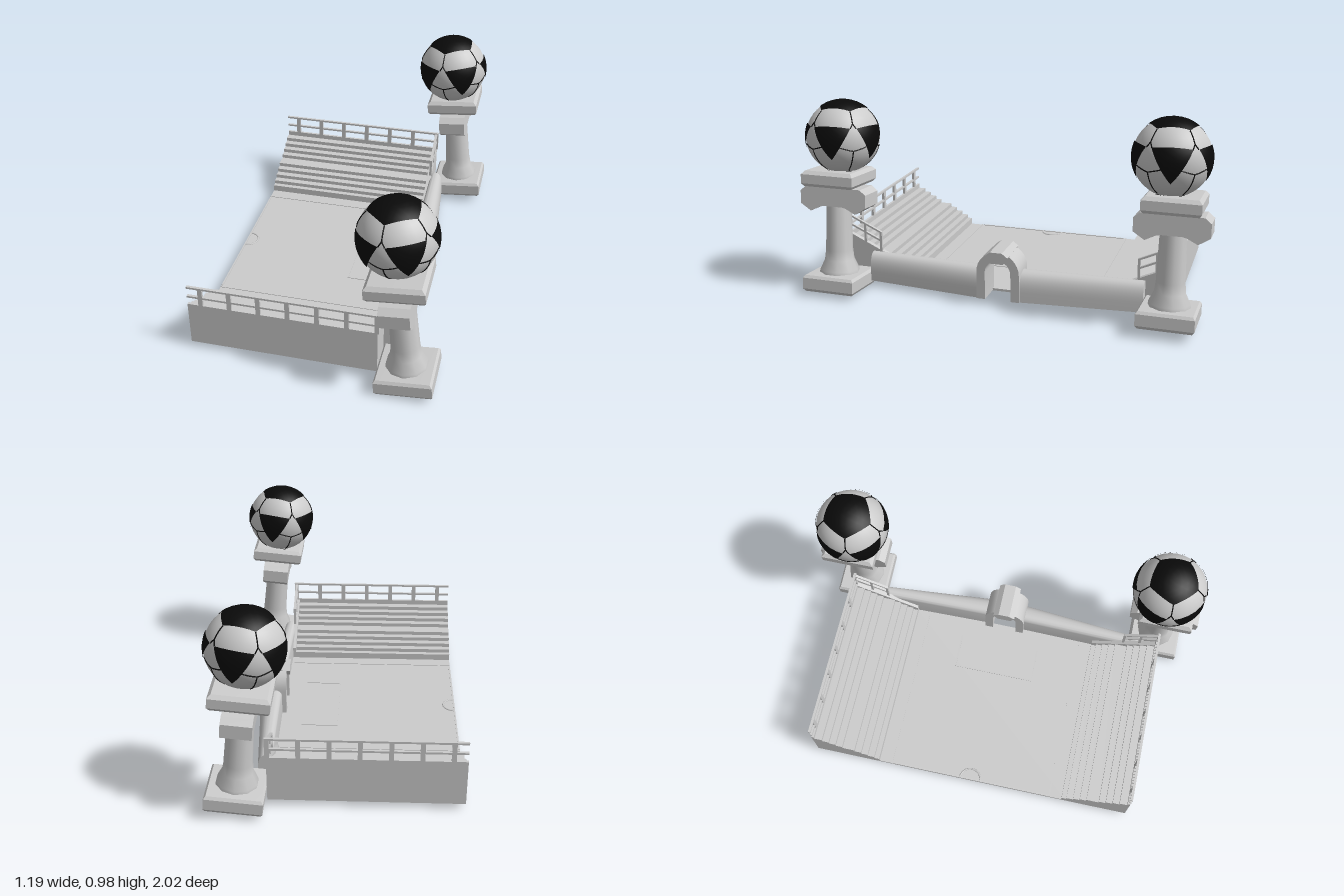
import * as THREE from 'three';
import { toCreasedNormals } from 'three/addons/utils/BufferGeometryUtils.js';

const grey = new THREE.MeshStandardMaterial({ color: 0xcccccc });
const black = new THREE.MeshStandardMaterial({ color: 0x0a0a0a });

function add(parent, name, geometry, x = 0, y = 0, z = 0, material = grey) {
  const mesh = new THREE.Mesh(geometry, material);
  mesh.name = name;
  mesh.position.set(x, y, z);
  parent.add(mesh);
  return mesh;
}

// box given by its lowest and highest corner
function block(parent, name, x0, x1, y0, y1, z0, z1) {
  return add(parent, name, new THREE.BoxGeometry(x1 - x0, y1 - y0, z1 - z0),
    (x0 + x1) / 2, (y0 + y1) / 2, (z0 + z1) / 2);
}

// outline in (z, y) extruded along x from x0 to x1
function extrudeX(shape, x0, x1) {
  const g = new THREE.ExtrudeGeometry(shape, { depth: x1 - x0, bevelEnabled: false, curveSegments: 8 });
  return g.rotateY(-Math.PI / 2).translate(x1, 0, 0);
}

const polygon = pts => new THREE.Shape(pts.map(p => new THREE.Vector2(...p)));

// square frustum stack from [half width, y] rings
function squareStack(rings) {
  const g = new THREE.LatheGeometry(rings.map(([h, y]) => new THREE.Vector2(h * Math.SQRT2, y)), 4, Math.PI / 4);
  return toCreasedNormals(g, 0.4);
}

// point on a sphere, longitude from +z towards +x, both in degrees
function onBall(lon, lat, r) {
  const a = THREE.MathUtils.degToRad(lon), b = THREE.MathUtils.degToRad(lat);
  return new THREE.Vector3(Math.sin(a) * Math.cos(b), Math.sin(b), Math.cos(a) * Math.cos(b)).multiplyScalar(r);
}

// curved panel on the ball, corners counter-clockwise from outside
function panel(corners, r, n = 5) {
  const centre = corners.reduce((s, c) => s.add(c), new THREE.Vector3()).divideScalar(corners.length);
  const pos = [];
  corners.forEach((b, k) => {
    const c = corners[(k + 1) % corners.length];
    const at = (i, j) => centre.clone().addScaledVector(b.clone().sub(centre), i / n)
      .addScaledVector(c.clone().sub(centre), j / n).setLength(r);
    for (let i = 0; i < n; i++) for (let j = 0; i + j < n; j++) {
      const tris = [at(i, j), at(i + 1, j), at(i, j + 1)];
      if (i + j < n - 1) tris.push(at(i + 1, j), at(i + 1, j + 1), at(i, j + 1));
      tris.forEach(p => pos.push(p.x, p.y, p.z));
    }
  });
  const g = new THREE.BufferGeometry();
  g.setAttribute('position', new THREE.Float32BufferAttribute(pos, 3));
  return toCreasedNormals(g, 1);
}

function makeBall() {
  const ball = new THREE.Group();
  ball.name = 'ball';
  const R = 0.18;
  add(ball, 'ballShell', new THREE.SphereGeometry(R, 30, 20));
  const seam = (a, b) => {
    const pts = [0, 0.25, 0.5, 0.75, 1].map(t => a.clone().lerp(b, t).setLength(R));
    add(ball, 'seam', new THREE.TubeGeometry(new THREE.CatmullRomCurve3(pts), 8, 0.003, 5), 0, 0, 0, black);
  };
  const top = [], bottom = [];
  for (let k = 0; k < 5; k++) {
    const lon = 25 + 72 * k, mid = lon + 36;
    top.push(onBall(mid, 48, R));
    bottom.unshift(onBall(mid, -58, R));
    // side patch, wide at its upper edge and pointed below
    const patch = [onBall(lon, -31, R), onBall(lon + 20, 0, R), onBall(lon + 31, 19, R),
      onBall(lon - 31, 19, R), onBall(lon - 20, 0, R)];
    add(ball, 'sidePatch', panel(patch, R + 0.004), 0, 0, 0, black);
    // seams above and below the gap between two patches
    const high = onBall(mid, 27, R), low = onBall(mid, -16, R);
    seam(onBall(mid, 48, R), high);
    seam(high, onBall(lon + 31, 19, R));
    seam(high, onBall(lon + 41, 19, R));
    seam(low, onBall(mid, -58, R));
    seam(low, onBall(lon + 14, -10, R));
    seam(low, onBall(lon + 58, -10, R));
  }
  add(ball, 'topPatch', panel(top, R + 0.004), 0, 0, 0, black);
  add(ball, 'bottomPatch', panel(bottom, R + 0.004), 0, 0, 0, black);
  return ball;
}

// leaning column with capital, carrying a ball
function makeTower(name, y, z) {
  const tower = new THREE.Group();
  tower.name = name;
  add(tower, 'plinth', squareStack([[0, 0], [0.125, 0], [0.135, 0.015], [0.135, 0.07], [0.125, 0.083], [0, 0.09]]));
  const profile = [[0.1, 0.08], [0.098, 0.1], [0.074, 0.15], [0.068, 0.2], [0.06, 0.52]];
  const shaft = new THREE.LatheGeometry(profile.map(p => new THREE.Vector2(...p)), 10);
  add(tower, 'shaft', toCreasedNormals(shaft, 0.7));
  // scroll block with drooping ends
  const half = [[0.175, 0.5], [0.175, 0.435], [0.12, 0.4], [0.07, 0.425], [0.05, 0.43]];
  const outline = [[-0.145, 0.525], ...half.map(([a, b]) => [-a, b]), ...half.slice().reverse(), [0.145, 0.525]];
  add(tower, 'scrollCapital', extrudeX(polygon(outline), -0.07, 0.07));
  add(tower, 'capNeck', new THREE.BoxGeometry(0.14, 0.03, 0.2), 0, 0.53, 0);
  add(tower, 'capSlab', squareStack([[0, 0.535], [0.125, 0.535], [0.136, 0.55], [0.136, 0.595], [0.12, 0.612], [0, 0.615]]));
  const ball = makeBall();
  ball.position.set(0, 0.775, -Math.sign(z) * 0.025);
  tower.add(ball);
  tower.position.set(0.455, y, z);
  tower.rotation.z = 0.095;
  return tower;
}

// one side: terrace, outer wall, railings and half of the end wall
function makeSide(name, sign) {
  const side = new THREE.Group();
  side.name = name;
  // two tiers of steps with a walkway between them
  const pts = [[0.5, 0.03], [0.5, 0.075]];
  let z = 0.525, y = 0.075;
  for (let tier = 0; tier < 2; tier++) {
    for (let i = 0; i < 4; i++) {
      pts.push([z, y], [z, y + 0.02]);
      y += 0.02;
      z += 0.034;
    }
    z += 0.03;
  }
  pts.push([0.835, y], [0.835, 0.03]);
  add(side, 'terrace', extrudeX(polygon(pts), -0.6, 0.29));
  block(side, 'outerWall', -0.6, 0.31, 0.03, 0.26, 0.832, 0.845);
  add(side, 'terraceEndWall',
    extrudeX(polygon([[0.5, 0.03], [0.845, 0.03], [0.845, 0.26], [0.66, 0.175], [0.5, 0.1]]), 0.287, 0.31));

  // railing on the outer wall
  for (let i = 0; i < 7; i++) {
    const x = -0.535 + i * 0.14;
    block(side, 'railPost', x - 0.011, x + 0.011, 0.255, 0.36, 0.832, 0.845);
  }
  for (const h of [0.303, 0.355]) block(side, 'rail', -0.6, 0.31, h - 0.005, h + 0.005, 0.832, 0.845);
  // railing stepping down the terrace end
  for (const h of [0.05, 0.095]) {
    add(side, 'slopedRail', extrudeX(polygon([[0.66, 0.17 + h], [0.845, 0.255 + h], [0.845, 0.265 + h], [0.66, 0.18 + h]]), 0.297, 0.31));
  }
  for (const [pz, py] of [[0.66, 0.165], [0.745, 0.205]]) block(side, 'slopedRailPost', 0.297, 0.31, py, py + 0.105, pz, pz + 0.012);

  // rounded end wall, thicker towards the gate
  const s = new THREE.Shape();
  s.moveTo(0, 0.03);
  s.lineTo(0.115, 0.03);
  s.lineTo(0.115, 0.08);
  s.quadraticCurveTo(0.115, 0.175, 0.045, 0.175);
  s.quadraticCurveTo(0, 0.175, 0, 0.14);
  s.closePath();
  const wall = new THREE.ExtrudeGeometry(s, { depth: 0.62, bevelEnabled: false, curveSegments: 8 }).translate(0, 0, 0.08);
  const p = wall.attributes.position;
  for (let i = 0; i < p.count; i++) {
    const t = (p.getZ(i) - 0.08) / 0.62;
    p.setX(i, 0.31 - 0.01 * t + p.getX(i) * (1 - 0.4 * t));
  }
  wall.deleteAttribute('normal');
  add(side, 'endWall', toCreasedNormals(wall, 0.6));
  block(side, 'sideline', -0.6, 0.29, 0.04, 0.043, 0.43, 0.436);
  side.scale.z = sign;
  return side;
}

// gate through the end wall
function makeGate() {
  const gate = new THREE.Group();
  gate.name = 'gate';
  const arch = new THREE.Shape();
  arch.moveTo(-0.108, 0.03);
  arch.lineTo(-0.065, 0.03);
  arch.lineTo(-0.065, 0.17);
  arch.absarc(0, 0.17, 0.065, Math.PI, 0, true);
  arch.lineTo(0.065, 0.03);
  arch.lineTo(0.108, 0.03);
  arch.lineTo(0.108, 0.17);
  arch.absarc(0, 0.17, 0.108, 0, Math.PI, false);
  arch.closePath();
  add(gate, 'arch', toCreasedNormals(extrudeX(arch, 0.288, 0.43), 0.5));
  const key = polygon([[-0.035, 0.228], [0.035, 0.228], [0.058, 0.264], [0.03, 0.285], [-0.03, 0.285], [-0.058, 0.264]]);
  add(gate, 'keystone', extrudeX(key, 0.27, 0.455));
  return gate;
}

export function createModel() {
  const model = new THREE.Group();
  model.name = 'stadiumEnd';
  block(model, 'basePlate', -0.6, 0.31, 0.028, 0.034, -0.7, 0.7);
  block(model, 'pitch', -0.6, 0.31, 0.03, 0.04, -0.52, 0.52);

  // raised pitch markings
  const mark = (x0, x1, z0, z1) => block(model, 'pitchLine', x0, x1, 0.039, 0.043, z0, z1);
  mark(0.015, 0.022, -0.22, 0.21);
  mark(0.015, 0.2, -0.225, -0.218);
  mark(0.015, 0.2, 0.205, 0.212);
  mark(-0.6, -0.592, -0.42, 0.42);
  const circle = new THREE.TorusGeometry(0.055, 0.005, 6, 20, Math.PI).rotateX(Math.PI / 2).rotateY(Math.PI / 2);
  add(model, 'centreCircle', circle, -0.595, 0.04, 0);

  model.add(makeSide('leftStand', 1), makeSide('rightStand', -1), makeGate());
  model.add(makeTower('frontTower', 0.014, 0.835), makeTower('backTower', 0.032, -0.835));
  return model;
}
